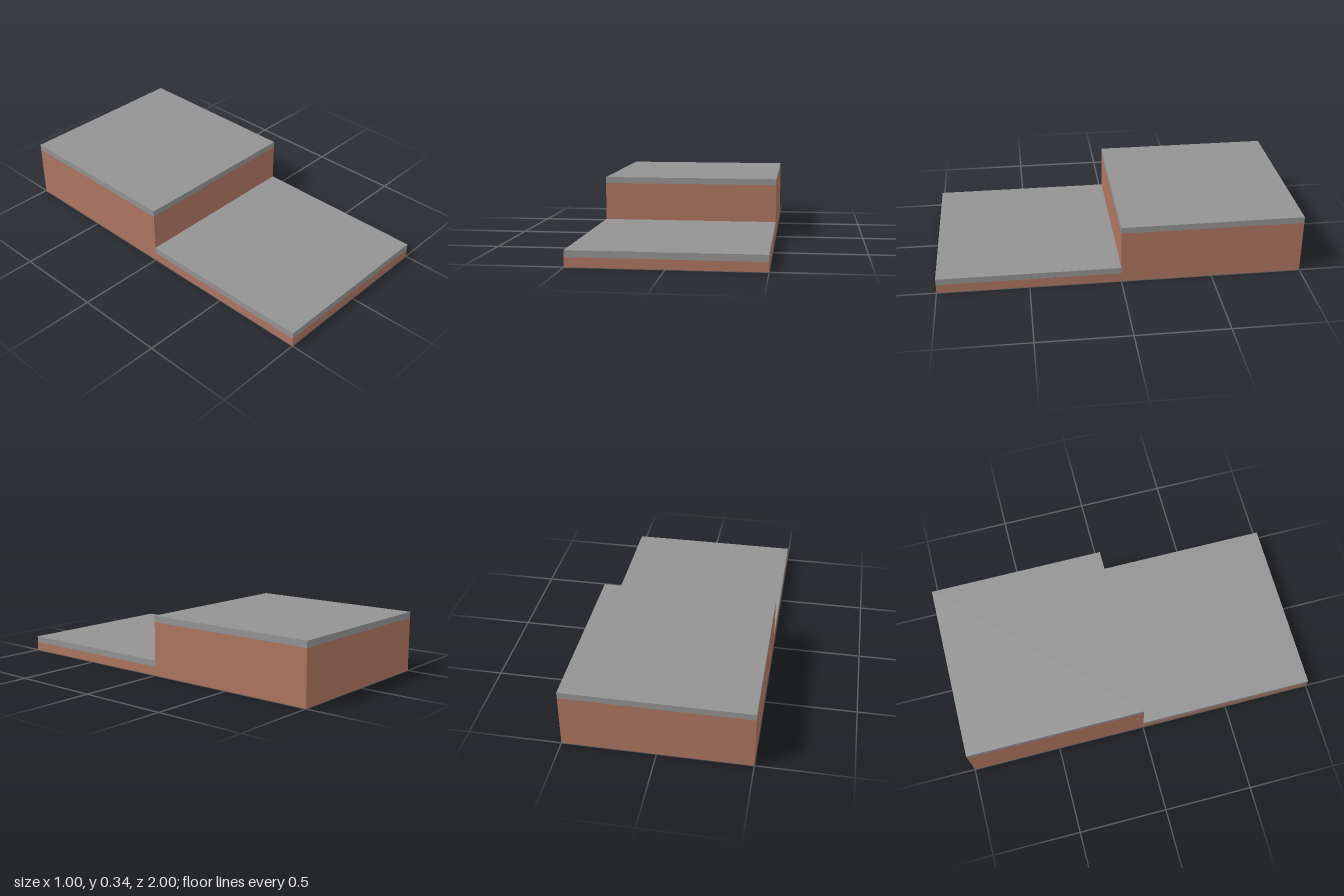
import * as THREE from 'three';

const WIDTH = 1;
const DEPTH = 1;
const BAND = 0.035; // height of the grey edge under each platform

export function createModel() {
  const concrete = new THREE.MeshStandardMaterial({ color: 0x939393, side: THREE.DoubleSide });
  concrete.name = 'grey concrete';
  const brick = new THREE.MeshStandardMaterial({ color: 0xae7561, side: THREE.DoubleSide });
  brick.name = 'brown brick';

  const model = new THREE.Group();
  model.name = 'steppedPlatform';

  // Upright sheet from y0 to y1, turned about y to face outwards
  function sheet(parent, name, material, width, y0, y1, x, z, turn) {
    const mesh = new THREE.Mesh(new THREE.PlaneGeometry(width, y1 - y0), material);
    mesh.name = name;
    mesh.position.set(x, (y0 + y1) / 2, z);
    mesh.rotation.y = turn;
    parent.add(mesh);
  }

  // Wall with a brick lower part and a concrete band along its top
  function wall(parent, name, width, bottom, top, x, z, turn) {
    sheet(parent, name + 'Brick', brick, width, bottom, top - BAND, x, z, turn);
    sheet(parent, name + 'Band', concrete, width, top - BAND, top, x, z, turn);
  }

  // Open-bottomed platform: deck, two side walls and one end wall each
  const platforms = [
    { name: 'lowerPlatform', top: 0.085, z: DEPTH / 2 },
    { name: 'upperPlatform', top: 0.335, z: -DEPTH / 2 },
  ];
  for (const { name, top, z } of platforms) {
    const group = new THREE.Group();
    group.name = name;

    const deck = new THREE.Mesh(new THREE.PlaneGeometry(WIDTH, DEPTH), concrete);
    deck.name = 'deck';
    deck.rotation.x = -Math.PI / 2;
    deck.position.set(0, top, z);
    group.add(deck);

    wall(group, 'leftWall', DEPTH, 0, top, WIDTH / 2, z, Math.PI / 2);
    wall(group, 'rightWall', DEPTH, 0, top, -WIDTH / 2, z, -Math.PI / 2);
    wall(group, 'endWall', WIDTH, 0, top, 0, Math.sign(z) * DEPTH, z > 0 ? 0 : Math.PI);
    model.add(group);
  }

  // Riser between the two decks
  wall(model, 'stepRiser', WIDTH, platforms[0].top, platforms[1].top, 0, 0, 0);

  return model;
}
